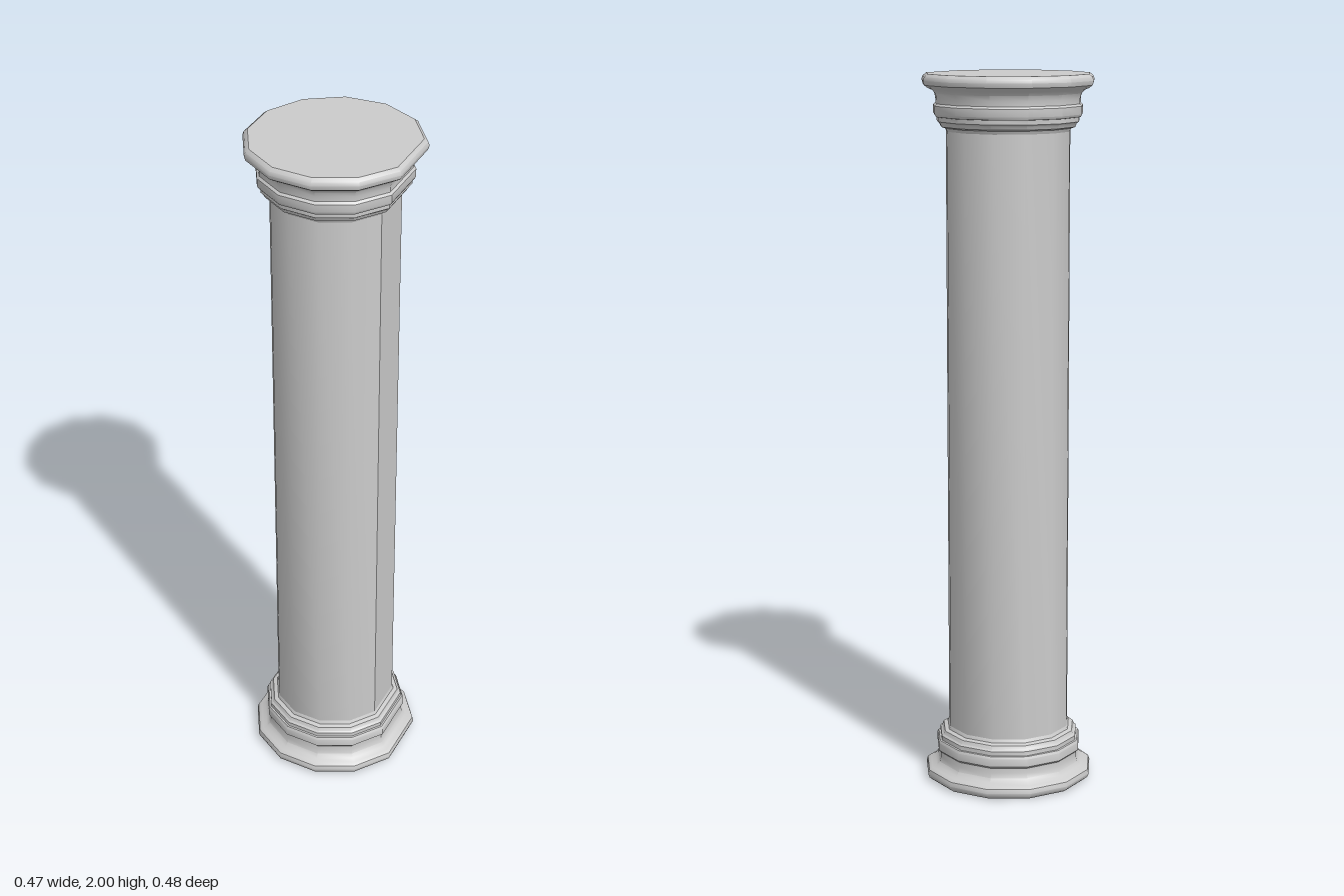
import * as THREE from 'three';
import { toCreasedNormals } from 'three/addons/utils/BufferGeometryUtils.js';

const SIDES = 12;
const rad = THREE.MathUtils.degToRad;
const material = new THREE.MeshStandardMaterial({ color: 0xcccccc, side: THREE.DoubleSide });

// Turned part with twelve corners 28.8 degrees apart, leaving one wider facet on +x
function turned(name, profile) {
  const geo = new THREE.LatheGeometry(profile.map(([r, y]) => new THREE.Vector2(r, y)), SIDES);
  const pos = geo.attributes.position;
  for (let i = 0; i <= SIDES; i++) {
    const a = rad(105.5 + 28.8 * (i % SIDES));
    profile.forEach(([r, y], j) =>
      pos.setXYZ(i * profile.length + j, r * Math.sin(a), y, r * Math.cos(a)));
  }
  const mesh = new THREE.Mesh(toCreasedNormals(geo, 0.62), material);
  mesh.name = name;
  return mesh;
}

export function createModel() {
  const column = new THREE.Group();
  column.name = 'column';

  // Moulding from the outer end towards the shaft: [radius, height]
  const moulding = [
    [0, 0], [0.228, 0], [0.238, 0.008], [0.2415, 0.018], [0.238, 0.03], [0.228, 0.037],
    [0.216, 0.042], [0.207, 0.052], [0.203, 0.066], [0.203, 0.08], [0.209, 0.086],
    [0.209, 0.108], [0.205, 0.115], [0.2, 0.116], [0.2, 0.128], [0.194, 0.132],
    [0.19, 0.142], [0.178, 0.146], [0.174, 0.155],
  ];

  column.add(turned('base', moulding));
  column.add(turned('shaft', [[0.174, 0.155], [0.174, 1.845]]));
  // The capital is the base moulding upside down
  column.add(turned('capital', moulding.map(([r, y]) => [r, 2 - y]).reverse()));
  return column;
}
